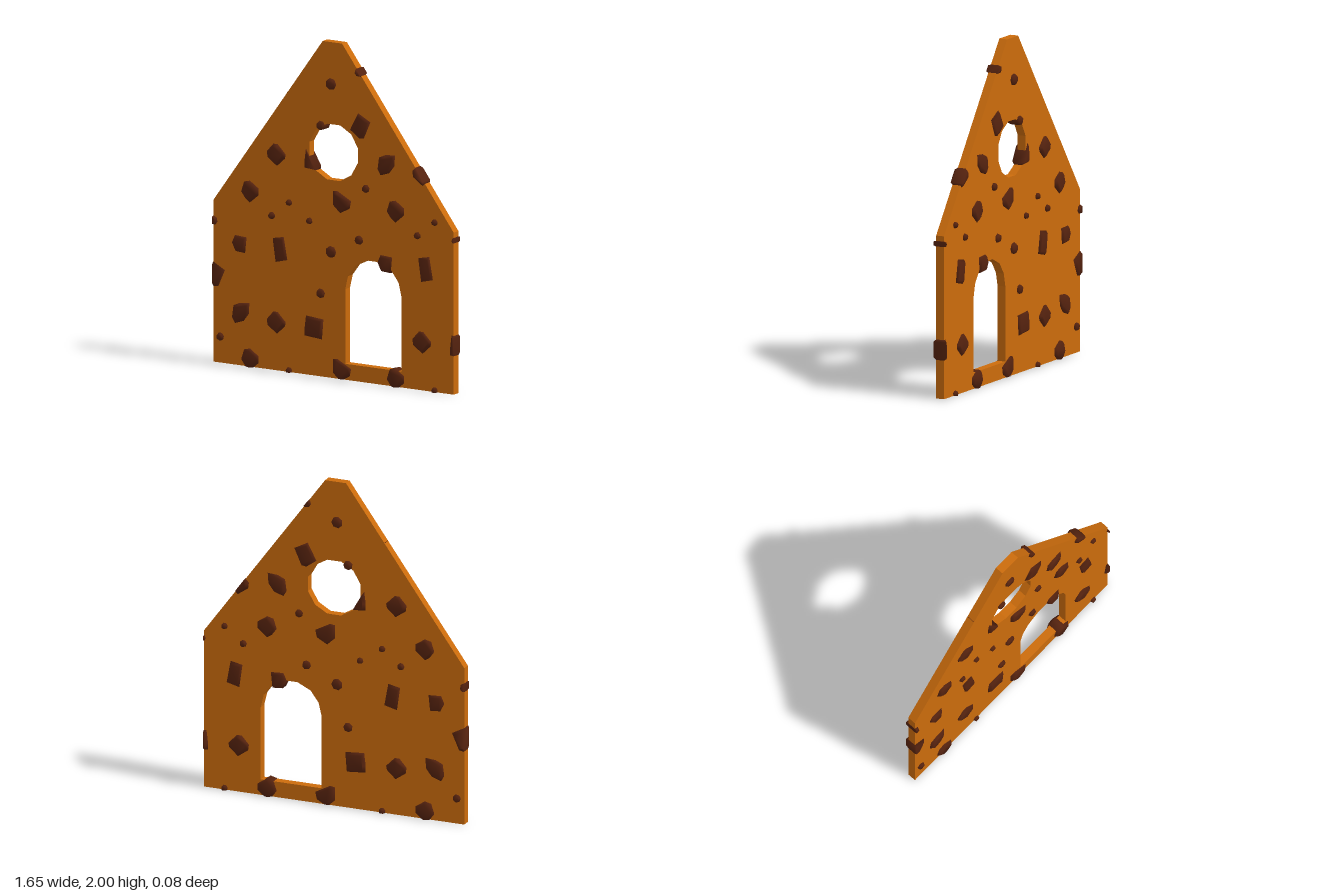
import * as THREE from 'three';
import { mergeVertices } from 'three/addons/utils/BufferGeometryUtils.js';
import { ConvexGeometry } from 'three/addons/geometries/ConvexGeometry.js';

const HALF = 0.026;   // half thickness of the wall
const BULGE = 0.042;  // how far a chip reaches from the middle plane
const GAP = 0.0015;   // cut chip faces stand just proud of the wall edge

const OUTLINE = [[-0.825, 0], [0.825, 0], [0.825, 0.965], [0.058, 2], [-0.075, 2], [-0.825, 0.965]];
const WINDOW = { x: 0, y: 1.345, r: 0.172 };

// Large chips: centre, then corner offsets in hundredths
const LARGE = [
  [0.425, 0.048, [-6, -1, -4, 5, 0, 6, 6, 2, 6, -2, 0, -7, -3, -5]],
  [0.055, 0.053, [-6, 6, -3, 6.5, 6.5, 1.5, 5.5, -3, -1, -6.5, -6, -2]],
  [-0.394, 0.288, [-6.5, 1, -2, 6, 1, 6, 6.5, 0.5, 6, -2, 0.5, -7, -6, -2.5]],
  [-0.135, 0.286, [-5.5, 6.5, 6.5, 5.5, 5.5, -6.5, -6.5, -5.5, -6.5, -1.5]],
  [-0.368, 0.725, [-5, 6, 2.5, 7.5, 5, -6, -3, -8]],
  [0.362, 0.312, [-5, 4, -0.5, 6, 6, 6.5, 5.5, 0, 2, -4.5, -4, -6.5, -6, -3]],
  [-0.648, 0.722, [-3, 5, 5, 4.5, 4, -5, -2.5, -4.5, -5, 0.5]],
  [0.183, 0.524, [-1.5, 7.5, 7, 3, 2.5, -7, -0.5, -7.5, -7, -3]],
];
// Small chips: centre and radius
const SMALL = [
  [-0.018, 0.75, 0.036], [-0.088, 0.495, 0.029], [-0.778, 0.155, 0.025], [-0.305, 0.01, 0.02],
  [-0.424, 0.918, 0.022], [-0.165, 0.918, 0.02], [0.175, 0.843, 0.028],
];

// Keeps the part of a polygon where nx * x + ny * y <= d
function clip(poly, [nx, ny, d]) {
  const out = [];
  poly.forEach((a, i) => {
    const b = poly[(i + 1) % poly.length];
    const da = nx * a[0] + ny * a[1] - d, db = nx * b[0] + ny * b[1] - d;
    if (da <= 0) out.push(a);
    if (da * db < 0) {
      const t = da / (da - db);
      out.push([a[0] + (b[0] - a[0]) * t, a[1] + (b[1] - a[1]) * t]);
    }
  });
  return out;
}

// One limiting line for each edge of the wall
const LIMITS = OUTLINE.map(([ax, ay], i) => {
  const [bx, by] = OUTLINE[(i + 1) % OUTLINE.length];
  const len = Math.hypot(bx - ax, by - ay);
  const nx = (by - ay) / len, ny = (ax - bx) / len;
  return [nx, ny, nx * ax + ny * ay + GAP];
});

// A chip runs through the wall and tapers on both faces
function chipGeometry(cx, cy, offsets) {
  const limits = [...LIMITS];
  if (Math.hypot(cx - WINDOW.x, cy - WINDOW.y) < WINDOW.r) {
    // cut flush with the nearest side of the window
    const nx = Math.cos(Math.PI / 6), ny = 0.5;
    limits.push([nx, ny, nx * WINDOW.x + ny * WINDOW.y - WINDOW.r * Math.cos(Math.PI / 12) + GAP]);
  }
  const section = (s) => limits.reduce(clip, offsets.map(([x, y]) => [cx + x * s, cy + y * s]));
  const points = [];
  for (const [s, z] of [[1, HALF], [0.76, BULGE]]) {
    for (const [x, y] of section(s)) {
      points.push(new THREE.Vector3(x, y, z), new THREE.Vector3(x, y, -z));
    }
  }
  if (points.length < 6) return null;
  let g = new ConvexGeometry(points);
  g.deleteAttribute('normal');
  g = mergeVertices(g, 1e-5);
  g.computeVertexNormals();
  return g;
}

function wallGeometry() {
  const shape = new THREE.Shape(OUTLINE.map(([x, y]) => new THREE.Vector2(x, y)));
  // Twelve-sided window
  const round = [];
  for (let i = 0; i < 12; i++) {
    const a = ((i + 0.5) / 12) * Math.PI * 2;
    round.push(new THREE.Vector2(WINDOW.x + WINDOW.r * Math.cos(a), WINDOW.y + WINDOW.r * Math.sin(a)));
  }
  // Arched doorway
  const half = [[0.193, 0.095], [0.193, 0.54], [0.174, 0.62], [0.124, 0.688], [0.04, 0.728]];
  const mirrored = half.map(([x, y]) => [-x, y]).reverse();
  const door = [...half, ...mirrored].map(([x, y]) => new THREE.Vector2(0.273 + x, y));
  shape.holes.push(new THREE.Path(round), new THREE.Path(door));
  return new THREE.ExtrudeGeometry(shape, { depth: HALF * 2, bevelEnabled: false }).translate(0, 0, -HALF);
}

export function createModel() {
  const model = new THREE.Group();
  model.name = 'cookieHouseWall';
  const dough = new THREE.MeshStandardMaterial({ color: 0xcc6c0c });
  dough.name = 'gingerbread';
  const chocolate = new THREE.MeshStandardMaterial({ color: 0x56230f });
  chocolate.name = 'chocolate';

  const wall = new THREE.Mesh(wallGeometry(), dough);
  wall.name = 'wall';
  model.add(wall);

  const chips = new THREE.Group();
  chips.name = 'chocolateChips';
  model.add(chips);

  const pattern = LARGE.map(([x, y, flat]) => {
    const offsets = [];
    for (let i = 0; i < flat.length; i += 2) offsets.push([flat[i] / 100, flat[i + 1] / 100]);
    return { x, y, offsets, name: 'largeChip' };
  });
  SMALL.forEach(([x, y, r], k) => {
    const offsets = [];
    for (let i = 0; i < 7; i++) {
      const a = (i / 7) * Math.PI * 2 + k;
      offsets.push([r * Math.cos(a), r * Math.sin(a)]);
    }
    pattern.push({ x, y, offsets, name: 'smallChip' });
  });

  // The chip pattern repeats every unit across and up the wall
  for (const { x, y, offsets, name } of pattern) {
    for (const dx of [-1, 0, 1]) {
      for (const dy of [0, 1]) {
        const cx = x + dx, cy = y + dy;
        const inDoor = cx > 0.08 && cx < 0.465 && cy > 0.1 && cy < 0.68;
        if (inDoor) continue;
        const g = chipGeometry(cx, cy, offsets);
        if (!g) continue;
        const chip = new THREE.Mesh(g, chocolate);
        chip.name = name;
        chips.add(chip);
      }
    }
  }
  return model;
}
